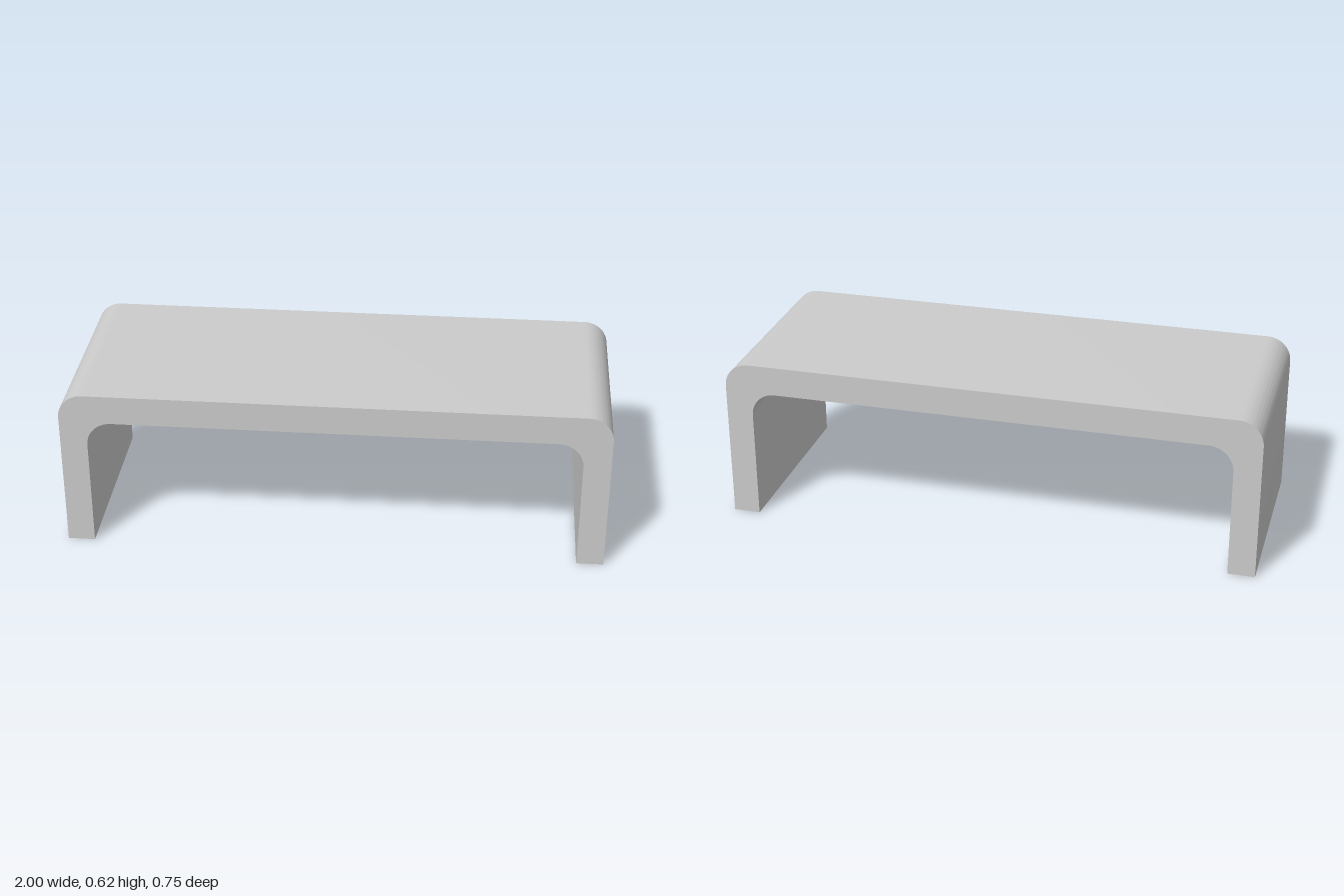
import * as THREE from 'three';
import { toCreasedNormals } from 'three/addons/utils/BufferGeometryUtils.js';

export function createModel() {
  const half = 1, height = 0.615, depth = 0.755;
  const legThickness = 0.1, topThickness = 0.11, radius = 0.092;
  const innerX = half - legThickness, innerY = height - topThickness;

  // Bent-panel profile: outer arch, then inner arch back, with rounded corners
  const profile = new THREE.Shape();
  profile.moveTo(half, 0);
  profile.lineTo(half, height - radius);
  profile.absarc(half - radius, height - radius, radius, 0, Math.PI / 2, false);
  profile.lineTo(-half + radius, height);
  profile.absarc(-half + radius, height - radius, radius, Math.PI / 2, Math.PI, false);
  profile.lineTo(-half, 0);
  profile.lineTo(-innerX, 0);
  profile.lineTo(-innerX, innerY - radius);
  profile.absarc(-innerX + radius, innerY - radius, radius, Math.PI, Math.PI / 2, true);
  profile.lineTo(innerX - radius, innerY);
  profile.absarc(innerX - radius, innerY - radius, radius, Math.PI / 2, 0, true);
  profile.lineTo(innerX, 0);
  profile.closePath();

  const extruded = new THREE.ExtrudeGeometry(profile, {
    depth, bevelEnabled: false, curveSegments: 16,
  });
  extruded.translate(0, 0, -depth / 2);

  // Table: top and both legs in one continuous piece
  const table = new THREE.Mesh(
    toCreasedNormals(extruded, Math.PI / 6),
    new THREE.MeshStandardMaterial({ color: 0xcccccc }),
  );
  table.name = 'tableTopAndLegs';

  const group = new THREE.Group();
  group.name = 'table';
  group.add(table);
  return group;
}
